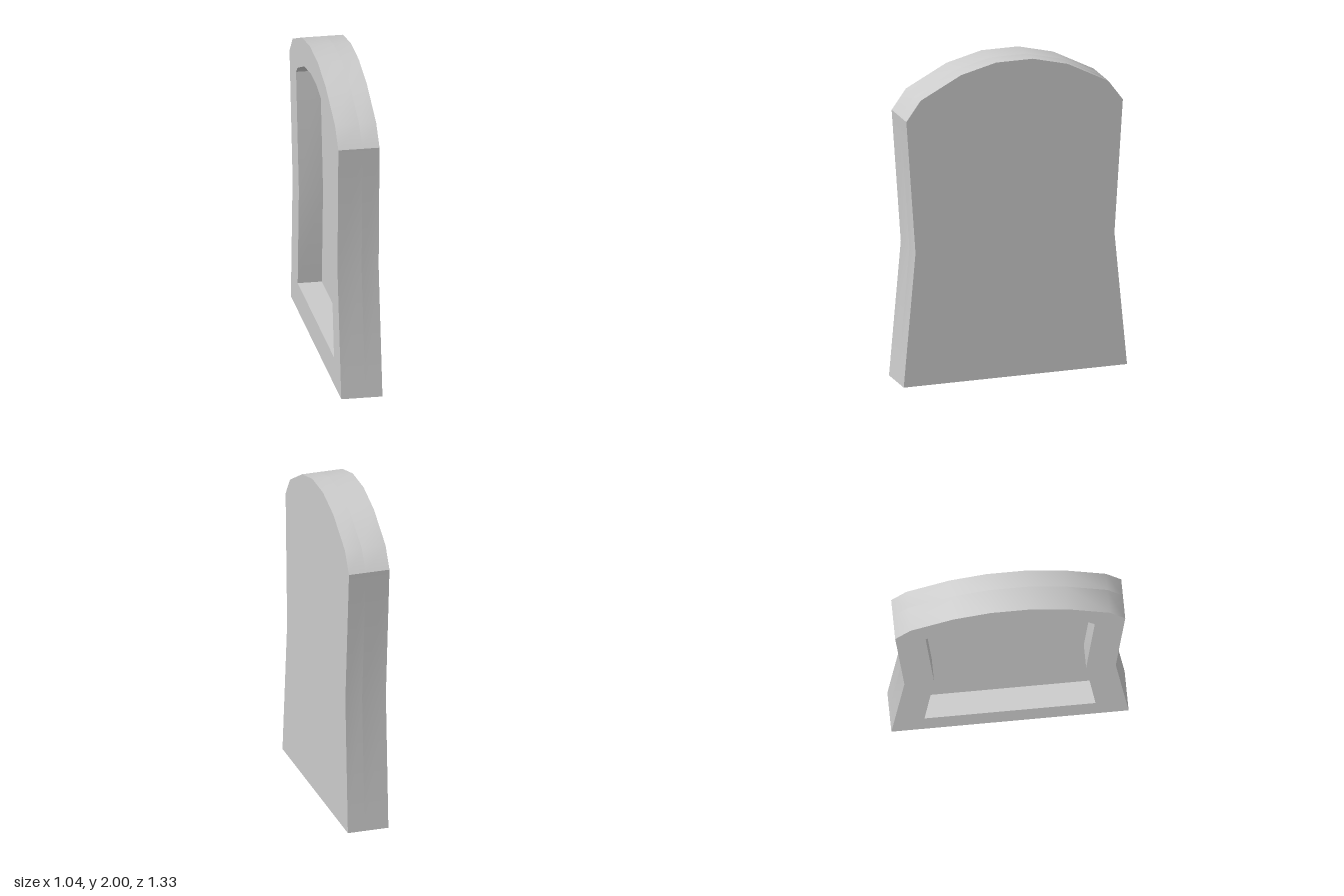
import * as THREE from 'three';
import { toCreasedNormals } from 'three/addons/utils/BufferGeometryUtils.js';

// Half-profiles [half width, height], from base to crown
const OUTER = [[0.724, 0.004], [0.645, 0.845], [0.702, 1.68], [0.609, 1.805], [0.346, 1.94], [0.119, 1.996]];
const INNER = [[0.522, 0.19], [0.464, 0.845], [0.516, 1.625], [0.47, 1.675], [0.279, 1.777], [0.082, 1.822]];
const THICKNESS = 0.256;
const RECESS = 0.15;

// Mirror a half-profile into a closed outline
function outline(half) {
  const right = half.map(([x, y]) => new THREE.Vector2(x, y));
  const left = half.map(([x, y]) => new THREE.Vector2(-x, y)).reverse();
  return [...right, ...left];
}

// Slight forward lean and a faintly sloping base
const lean = new THREE.Matrix4().set(
  1, 0, 0, 0,
  0, 1, 0.03, 0,
  0, 0.008, 1, -0.008,
  0, 0, 0, 1
);

function slab(name, shape, depth, z) {
  const extruded = new THREE.ExtrudeGeometry(shape, { depth, bevelEnabled: false });
  extruded.translate(0, 0, z).applyMatrix4(lean);
  const mesh = new THREE.Mesh(
    toCreasedNormals(extruded, THREE.MathUtils.degToRad(32)),
    new THREE.MeshStandardMaterial({ color: 0xcccccc })
  );
  mesh.name = name;
  return mesh;
}

export function createModel() {
  const model = new THREE.Group();
  model.name = 'recessedStone';

  // Solid back plate, which is also the floor of the recess
  const plate = new THREE.Shape(outline(OUTER));
  model.add(slab('backPlate', plate, THICKNESS - RECESS, -THICKNESS / 2));

  // Raised frame around the recess
  const frame = new THREE.Shape(outline(OUTER));
  frame.holes.push(new THREE.Path(outline(INNER)));
  model.add(slab('frontFrame', frame, RECESS, THICKNESS / 2 - RECESS));

  // The stone stands turned about its vertical axis
  model.rotation.y = THREE.MathUtils.degToRad(-55);
  return model;
}
